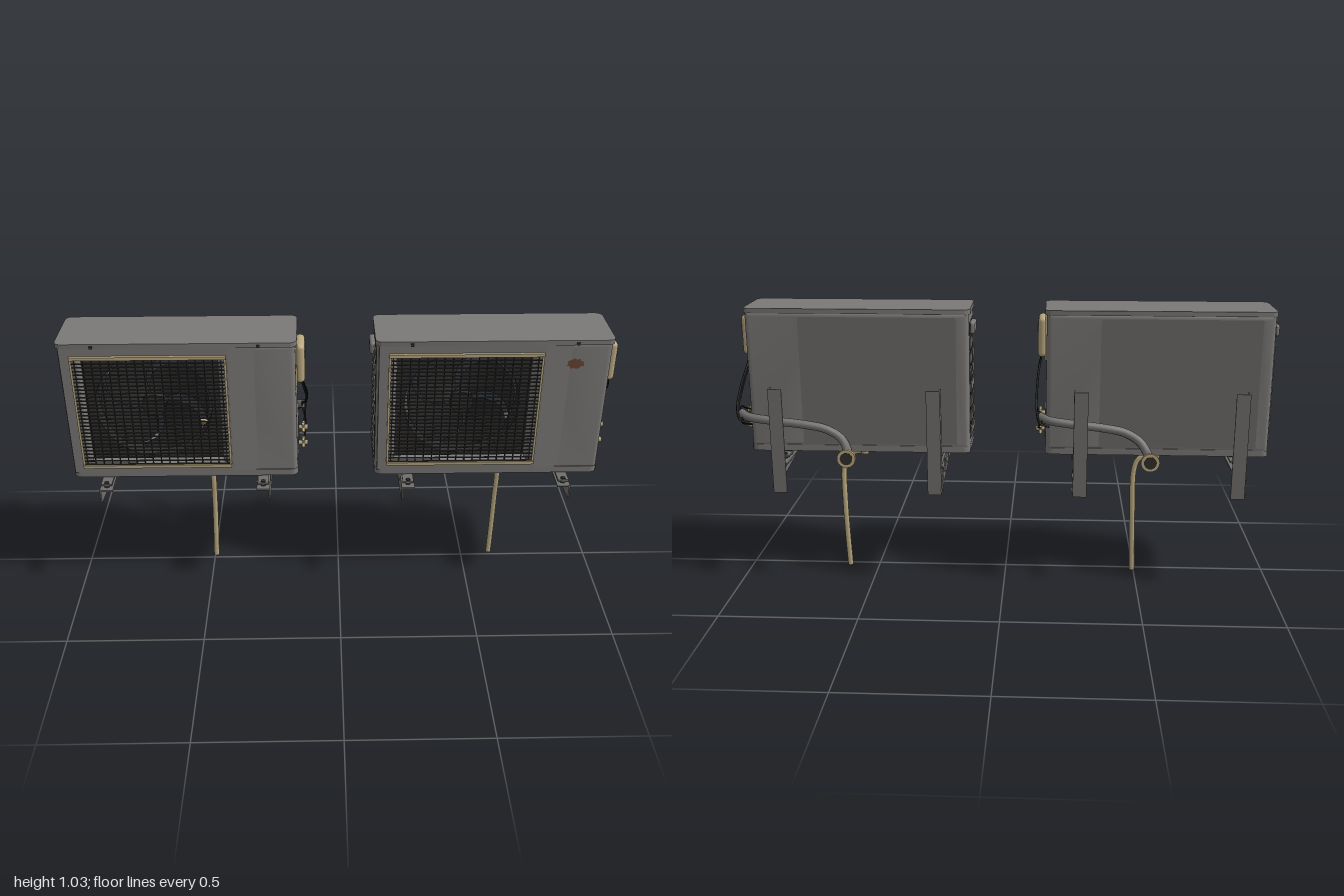
import * as THREE from 'three';
import { toCreasedNormals } from 'three/addons/utils/BufferGeometryUtils.js';
import { RoundedBoxGeometry } from 'three/addons/geometries/RoundedBoxGeometry.js';

const mat = (name, color, double) => {
  const m = new THREE.MeshStandardMaterial({ color });
  m.name = name;
  if (double) m.side = THREE.DoubleSide;
  return m;
};
const GREY = mat('casing grey', 0x7b7977);
const STEEL = mat('bracket grey', 0x706f6d, true);
const COIL = mat('coil grey', 0x6c6a68);
const BEIGE = mat('aged beige', 0xb9a880);
const DARK = mat('fan dark', 0x302f2e, true);
const BLACK = mat('cable black', 0x161616);
const RUST = mat('rust brown', 0x6b4433, true);

const V = (x, y, z) => new THREE.Vector3(x, y, z);

function add(parent, name, geo, material, x = 0, y = 0, z = 0) {
  const m = new THREE.Mesh(geo, material);
  m.name = name;
  m.position.set(x, y, z);
  parent.add(m);
  return m;
}
// Box given by its limits
const box = (g, name, m, x0, x1, y0, y1, z0, z1) =>
  add(g, name, new THREE.BoxGeometry(x1 - x0, y1 - y0, z1 - z0), m, (x0 + x1) / 2, (y0 + y1) / 2, (z0 + z1) / 2);
const tube = (g, name, m, r, pts) =>
  add(g, name, new THREE.TubeGeometry(new THREE.CatmullRomCurve3(pts.map(p => V(...p))), 32, r, 8), m);

function rect(x0, x1, y0, y1, Type = THREE.Shape) {
  return new Type().moveTo(x0, y0).lineTo(x1, y0).lineTo(x1, y1).lineTo(x0, y1).closePath();
}
function roundRect(x0, x1, y0, y1, r) {
  const s = new THREE.Shape();
  s.absarc(x1 - r, y1 - r, r, 0, Math.PI / 2);
  s.absarc(x0 + r, y1 - r, r, Math.PI / 2, Math.PI);
  s.absarc(x0 + r, y0 + r, r, Math.PI, Math.PI * 1.5);
  s.absarc(x1 - r, y0 + r, r, Math.PI * 1.5, Math.PI * 2);
  return s;
}
const extrude = (s, depth, more) => new THREE.ExtrudeGeometry(s, { depth, bevelEnabled: false, curveSegments: 8, ...more });
// Footprint slab: shape (x, -z) raised along y
const slab = (s, h) => toCreasedNormals(extrude(s, h).rotateX(-Math.PI / 2), 0.6);

// Irregular thin patch in the xy plane
function patch(w, h) {
  const pts = [];
  for (let i = 0; i < 18; i++) {
    const a = i / 18 * Math.PI * 2, k = 0.85 + 0.15 * Math.sin(i * 2.7);
    pts.push(new THREE.Vector2(Math.cos(a) * w / 2 * k, Math.sin(a) * h / 2 * k));
  }
  return new THREE.ShapeGeometry(new THREE.Shape(pts));
}

function casing(g) {
  // Hollow shell with a fan tunnel, closed at the rear by the coil panel
  const shell = rect(-0.413, 0.413, 0.5, 1.02);
  shell.holes.push(rect(-0.34, 0.14, 0.55, 0.975, THREE.Path));
  const geo = extrude(shell, 0.185, { bevelEnabled: true, bevelSize: 0.02, bevelThickness: 0.02, bevelOffset: -0.02, bevelSegments: 4 });
  add(g, 'casing', toCreasedNormals(geo, 0.6), GREY, 0, 0, -0.058);
  add(g, 'lid', slab(roundRect(-0.418, 0.418, -0.156, 0.08, 0.025), 0.018), GREY, 0, 1.012, 0);
  add(g, 'basePan', slab(roundRect(-0.414, 0.414, -0.15, 0.079, 0.025), 0.025), GREY, 0, 0.488, 0);
  const front = rect(-0.405, 0.18, 0.51, 1.012);
  front.holes.push(rect(-0.355, 0.155, 0.545, 0.975, THREE.Path));
  add(g, 'frontPanel', extrude(front, 0.012), GREY, 0, 0, 0.142);
  const slope = new THREE.Shape().moveTo(0.18, -0.14).lineTo(0.18, -0.154).lineTo(0.28, -0.146).lineTo(0.28, -0.14).closePath();
  add(g, 'frontSlope', slab(slope, 0.502), GREY, 0, 0.511, 0);
  add(g, 'rearCoil', new THREE.PlaneGeometry(0.58, 0.48).rotateY(Math.PI), COIL, -0.075, 0.76, -0.0795);
  for (const x of [-0.29, 0.285]) box(g, 'lidScrew', DARK, x - 0.006, x + 0.006, 1.013, 1.023, 0.153, 0.16);

  // Louvred left side
  for (let row = 0; row < 8; row++) for (const z of [0.075, -0.012]) {
    const y = 0.56 + row * 0.056;
    box(g, 'louvreOpening', DARK, -0.415, -0.411, y - 0.024, y + 0.024, z - 0.038, z + 0.038);
    box(g, 'louvreSlat', GREY, -0.419, -0.414, y - 0.014, y + 0.02, z - 0.034, z + 0.034);
  }
  add(g, 'sideHandle', new RoundedBoxGeometry(0.022, 0.045, 0.09, 3, 0.01), GREY, -0.422, 0.955, 0.01);
}

function fan(g) {
  const cx = -0.1, cy = 0.765;
  const plate = rect(-0.355, 0.155, 0.54, 0.985);
  plate.holes.push(new THREE.Path().absarc(cx, cy, 0.208, 0, Math.PI * 2, true));
  add(g, 'fanShroud', new THREE.ShapeGeometry(plate, 32), DARK, 0, 0, 0.115);
  add(g, 'fanRing', new THREE.CylinderGeometry(0.208, 0.208, 0.07, 40, 1, true).rotateX(Math.PI / 2), DARK, cx, cy, 0.08);
  add(g, 'fanHub', new THREE.CylinderGeometry(0.042, 0.045, 0.05, 24).rotateX(Math.PI / 2), DARK, cx, cy, 0.085);
  // Swept, pitched blade from a grid: u runs around, v runs outward
  const blade = new THREE.PlaneGeometry(1, 1, 10, 8), p = blade.attributes.position;
  for (let i = 0; i < p.count; i++) {
    const u = p.getX(i) + 0.5, v = p.getY(i) + 0.5;
    const r = 0.035 + 0.161 * v, a = u * 1.4 - 0.75 * v * v;
    p.setXYZ(i, r * Math.cos(a), r * Math.sin(a), 0.03 * (u - 0.5));
  }
  blade.computeVertexNormals();
  for (let i = 0; i < 4; i++)
    add(g, 'fanBlade', blade, DARK, cx, cy, 0.085).rotation.z = i * Math.PI / 2 + 0.36;

  // Wire guard and beige frame
  for (let i = 0; i < 30; i++) {
    const y = 0.55 + i * 0.0146;
    box(g, 'guardWire', DARK, -0.363, 0.165, y - 0.0012, y + 0.0012, 0.158, 0.165);
  }
  for (let i = 0; i < 18; i++) {
    const x = -0.355 + i * 0.03;
    box(g, 'guardWire', DARK, x - 0.0018, x + 0.0018, 0.546, 0.972, 0.153, 0.158);
  }
  for (const y of [0.54, 0.978]) box(g, 'guardFrame', BEIGE, -0.37, 0.172, y - 0.006, y + 0.006, 0.15, 0.166);
  for (const x of [-0.367, 0.169]) box(g, 'guardFrame', BEIGE, x - 0.004, x + 0.004, 0.546, 0.972, 0.15, 0.16);
}

function services(g) {
  // Electrical cover on the right side
  box(g, 'coverBack', BEIGE, 0.41, 0.418, 0.833, 1.008, -0.018, 0.105);
  add(g, 'electricalCover', new RoundedBoxGeometry(0.034, 0.15, 0.112, 4, 0.016), BEIGE, 0.428, 0.917, 0.045);
  box(g, 'coverGrip', COIL, 0.44, 0.447, 0.938, 0.962, 0, 0.09);
  for (let i = 0; i < 3; i++) {
    const d = i * 0.013;
    tube(g, 'cable', BLACK, 0.004, [[0.43, 0.845, 0.068 - d], [0.44, 0.8, 0.05 - d], [0.447, 0.72 + d * 0.3, -0.04 - d],
      [0.445, 0.66, -0.115 - d * 0.6], [0.435, 0.625, -0.14], [0.4, 0.61, -0.135]]);
  }
  // Service valves with their pipes
  box(g, 'valvePlate', COIL, 0.41, 0.417, 0.545, 0.655, -0.045, 0.06);
  for (const [y, z] of [[0.622, 0.025], [0.558, 0.03]]) {
    add(g, 'valveStem', new THREE.CylinderGeometry(0.008, 0.01, 0.036, 12).rotateZ(Math.PI / 2), BEIGE, 0.433, y, z);
    for (const a of [0.5, 2.1])
      add(g, 'valveCross', new THREE.CylinderGeometry(0.006, 0.006, 0.046, 10).rotateX(a), BEIGE, 0.434, y, z);
    tube(g, 'valvePipe', BLACK, 0.0035, [[0.434, y, z], [0.44, y + 0.02, z - 0.06], [0.44, y + 0.04, z - 0.12], [0.425, 0.63, -0.14]]);
  }
  // Insulated line leading to the wall
  tube(g, 'insulatedLine', STEEL, 0.017, [[0.435, 0.645, -0.115], [0.405, 0.635, -0.133], [0.32, 0.622, -0.136],
    [0.2, 0.605, -0.125], [0.12, 0.585, -0.115], [0.065, 0.55, -0.115], [0.038, 0.515, -0.145], [0.032, 0.5, -0.195]]);
  add(g, 'wallFlange', new THREE.CylinderGeometry(0.034, 0.034, 0.014, 24).rotateX(Math.PI / 2), BEIGE, 0.032, 0.498, -0.198);
  add(g, 'flangeOpening', new THREE.CylinderGeometry(0.023, 0.023, 0.004, 24).rotateX(Math.PI / 2), DARK, 0.032, 0.498, -0.204);
  // Drain hose
  tube(g, 'drainHose', BEIGE, 0.0105, [[-0.005, 0.474, -0.02], [0.03, 0.47, -0.02], [0.062, 0.452, -0.02], [0.076, 0.41, -0.023],
    [0.077, 0.25, -0.031], [0.074, 0.12, -0.026], [0.07, 0.002, -0.02]]);
  add(g, 'drainSpout', new THREE.CylinderGeometry(0.018, 0.014, 0.03, 16), BEIGE, -0.005, 0.478, -0.02);
}

// Wall bracket, its perforated web on the outer side given by s
function bracket(g, cx, s) {
  const b = new THREE.Group();
  b.name = 'wallBracket';
  b.position.x = cx;
  g.add(b);
  const web = new THREE.Shape().moveTo(-0.165, 0.365).lineTo(0.208, 0.41).lineTo(0.208, 0.464).lineTo(-0.165, 0.464).closePath();
  for (const [z, y] of [[0.06, 0.43], [-0.038, 0.426], [-0.125, 0.42]]) {
    const hole = new THREE.Path();
    for (let i = 0; i < 8; i++) {
      const a = -(i + 0.5) * Math.PI / 4;
      hole[i ? 'lineTo' : 'moveTo'](z + 0.029 * Math.cos(a), y + 0.029 * Math.sin(a));
    }
    hole.closePath();
    web.holes.push(hole);
  }
  add(b, 'armWeb', extrude(web, 0.005).rotateY(-Math.PI / 2), STEEL, s * 0.022 + 0.0025);
  box(b, 'armFlange', STEEL, -0.024, 0.024, 0.459, 0.465, -0.16, 0.208);
  box(b, 'postBack', STEEL, -0.025, 0.025, 0.36, 0.755, -0.195, -0.19);
  box(b, 'postSide', STEEL, s * 0.0235 - 0.0025, s * 0.0235 + 0.0025, 0.36, 0.755, -0.192, -0.156);
  box(b, 'footRail', STEEL, -0.02, 0.02, 0.473, 0.48, -0.11, 0.19);
  for (const z of [0.1, -0.05]) box(b, 'footPad', DARK, -0.015, 0.015, 0.465, 0.49, z - 0.012, z + 0.012);
  for (const z of [0.18, -0.095]) add(b, 'footBolt', new THREE.CylinderGeometry(0.009, 0.011, 0.025, 6), DARK, 0, 0.472, z);
  for (const y of [0.38, 0.435])
    add(b, 'postBolt', new THREE.CylinderGeometry(0.01, 0.01, 0.01, 12).rotateZ(Math.PI / 2), STEEL, s * 0.026, y, -0.173);
}

function rust(g) {
  add(g, 'frontRust', patch(0.068, 0.045), RUST, 0.285, 0.937, 0.149);
  const sideways = (w, h) => patch(w, h).rotateY(Math.PI / 2);
  add(g, 'coverRust', sideways(0.05, 0.05), RUST, 0.416, 0.823, 0.015);
  add(g, 'bracketRust', sideways(0.035, 0.03), RUST, 0.3105, 0.45, -0.07);
  box(g, 'baseRust', RUST, 0.4, 0.4165, 0.489, 0.508, -0.06, 0.13);
}

export function createModel() {
  const model = new THREE.Group();
  model.name = 'airConditioners';
  for (const x of [-0.565, 0.545]) {
    const unit = new THREE.Group();
    unit.name = 'outdoorUnit';
    unit.position.x = x;
    casing(unit);
    fan(unit);
    services(unit);
    bracket(unit, -0.29, -1);
    bracket(unit, 0.285, 1);
    if (x > 0) rust(unit);
    model.add(unit);
  }
  return model;
}
